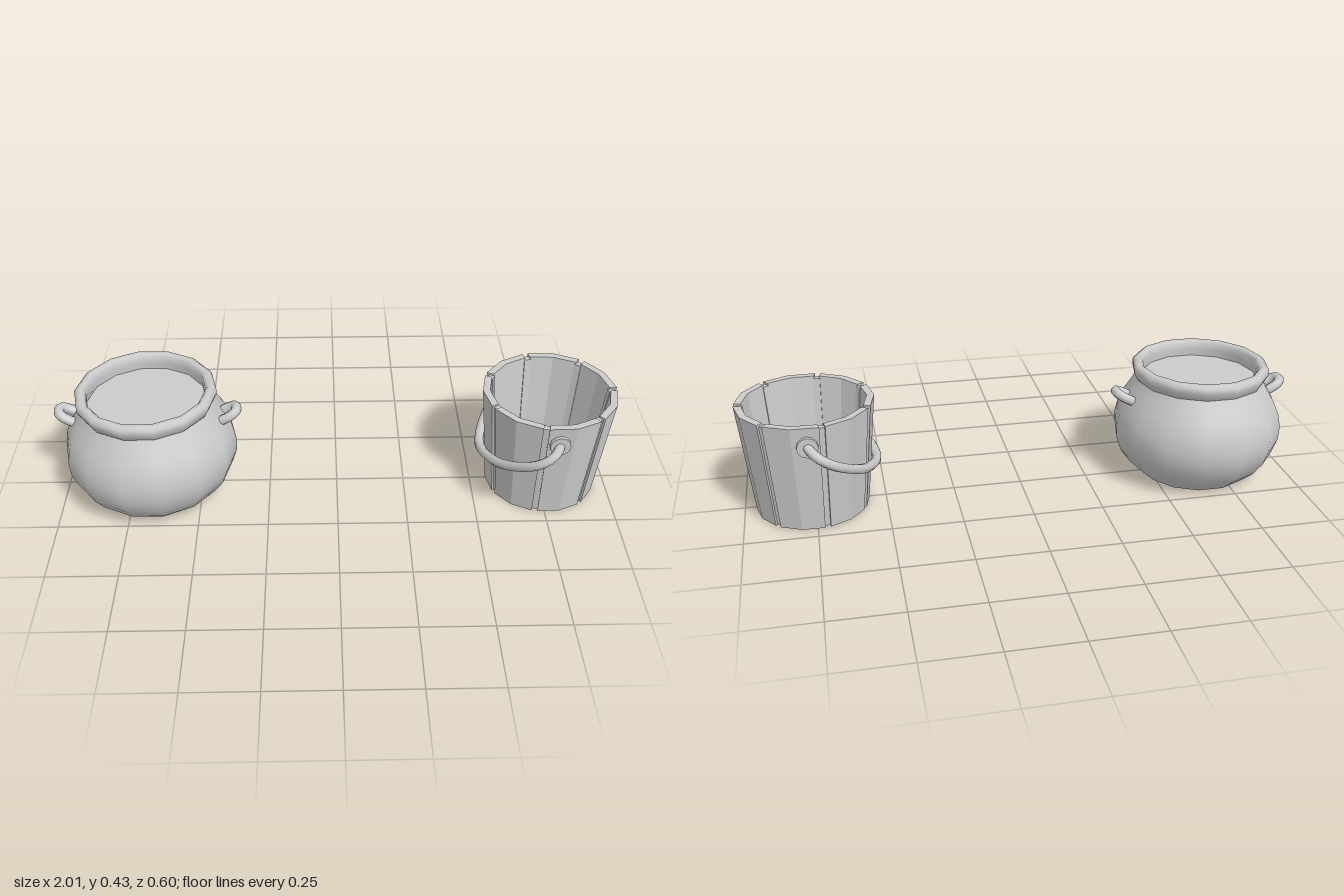
import * as THREE from 'three';

const SIDES = 14;
const smooth = new THREE.MeshStandardMaterial({ color: 0xcccccc, side: THREE.DoubleSide });
const faceted = new THREE.MeshStandardMaterial({ color: 0xcccccc, flatShading: true });

function add(parent, name, geometry, material = smooth) {
  const mesh = new THREE.Mesh(geometry, material);
  mesh.name = name;
  parent.add(mesh);
  return mesh;
}

// Fourteen-sided surface of revolution with a corner on the x axis
function turned(profile) {
  const points = profile.map(([r, y]) => new THREE.Vector2(r, y));
  return new THREE.LatheGeometry(points, SIDES, Math.PI / 2);
}

function rod(points, radius, segments) {
  const curve = new THREE.CatmullRomCurve3(points);
  return new THREE.TubeGeometry(curve, segments, radius, 8);
}

// Bends a box into a piece of the tapered bucket wall
function wallPiece(angle0, angle1, halfGap, inset0, inset1, y0, y1, segments) {
  const geometry = new THREE.BoxGeometry(1, 1, 1, segments, 1, 1);
  const p = geometry.attributes.position;
  for (let i = 0; i < p.count; i++) {
    const y = THREE.MathUtils.lerp(y0, y1, p.getY(i) + 0.5);
    const r = 0.2 + 0.1 * y - THREE.MathUtils.lerp(inset1, inset0, p.getZ(i) + 0.5);
    const side = p.getX(i) * 2;
    const angle = THREE.MathUtils.lerp(angle0, angle1, p.getX(i) + 0.5) - side * halfGap / r;
    p.setXYZ(i, r * Math.sin(angle), y, r * Math.cos(angle));
  }
  geometry.computeVertexNormals();
  return geometry;
}

function createCauldron() {
  const cauldron = new THREE.Group();
  cauldron.name = 'cauldron';
  add(cauldron, 'cauldronBody', turned([
    [0.205, 0], [0.255, 0.045], [0.29, 0.095], [0.307, 0.145], [0.31, 0.195],
    [0.3, 0.245], [0.278, 0.295], [0.25, 0.34], [0.232, 0.375],
  ]));
  add(cauldron, 'cauldronRim', turned([
    [0.23, 0.365], [0.24, 0.378], [0.25, 0.4], [0.25, 0.418], [0.238, 0.429],
    [0.222, 0.429], [0.212, 0.418], [0.21, 0.395], [0.212, 0.365],
  ]));
  // Flat base and the surface of the contents
  add(cauldron, 'cauldronBase', new THREE.CircleGeometry(0.205, SIDES)).rotation.x = Math.PI / 2;
  const contents = add(cauldron, 'contents', new THREE.CircleGeometry(0.214, SIDES));
  contents.rotation.x = -Math.PI / 2;
  contents.position.y = 0.37;

  // Small upturned loop on each side
  const loop = [[-0.04, 0.03], [0.025, 0.03], [0.045, 0.018], [0.05, 0], [0.045, -0.018], [0.025, -0.03], [-0.04, -0.03]]
    .map(([s, z]) => new THREE.Vector3(s, 0, z));
  for (const side of [1, -1]) {
    const ear = add(cauldron, side > 0 ? 'leftEar' : 'rightEar', rod(loop, 0.018, 20));
    ear.position.set(side * 0.273, 0.31, 0);
    ear.rotation.set(0, side > 0 ? 0 : Math.PI, 0.5);
  }
  return cauldron;
}

function createBucket() {
  const bucket = new THREE.Group();
  bucket.name = 'bucket';
  // Seven two-sided staves with recessed strips in the gaps
  const step = Math.PI * 2 / 7;
  for (let i = 0; i < 7; i++) {
    const a = Math.PI / 2 + i * step;
    add(bucket, 'stave', wallPiece(a, a + step, 0.01, 0, 0.026, 0, 0.4, 2), faceted);
    add(bucket, 'gapStrip', wallPiece(a, a, -0.0125, 0.008, 0.03, 0.004, 0.393, 1), faceted);
  }
  // Floor disc
  const floor = add(bucket, 'bucketFloor',
    new THREE.CylinderGeometry(0.19, 0.19, 0.05, SIDES, 1, false, Math.PI / 2), faceted);
  floor.position.y = 0.026;

  // Pivot bosses
  for (const side of [1, -1]) {
    const boss = add(bucket, 'handleBoss', new THREE.CylinderGeometry(0.036, 0.036, 0.03, 12), faceted);
    boss.rotation.x = Math.PI / 2;
    boss.position.set(0, 0.332, side * 0.23);
  }

  // Bail swung down to one side
  const half = [[0, 0.235], [0.015, 0.263], [0.05, 0.281], [0.1, 0.272], [0.17, 0.225], [0.24, 0.145]];
  const path = [...half, [0.29, 0], ...half.map(([t, z]) => [t, -z]).reverse()]
    .map(([t, z]) => new THREE.Vector3(-0.81 * t, 0.332 - 0.585 * t, z));
  add(bucket, 'handle', rod(path, 0.017, 40));
  return bucket;
}

export function createModel() {
  const model = new THREE.Group();
  model.name = 'cauldronAndBucket';
  const cauldron = createCauldron();
  cauldron.position.x = -0.675;
  const bucket = createBucket();
  bucket.position.x = 0.76;
  model.add(cauldron, bucket);
  return model;
}
